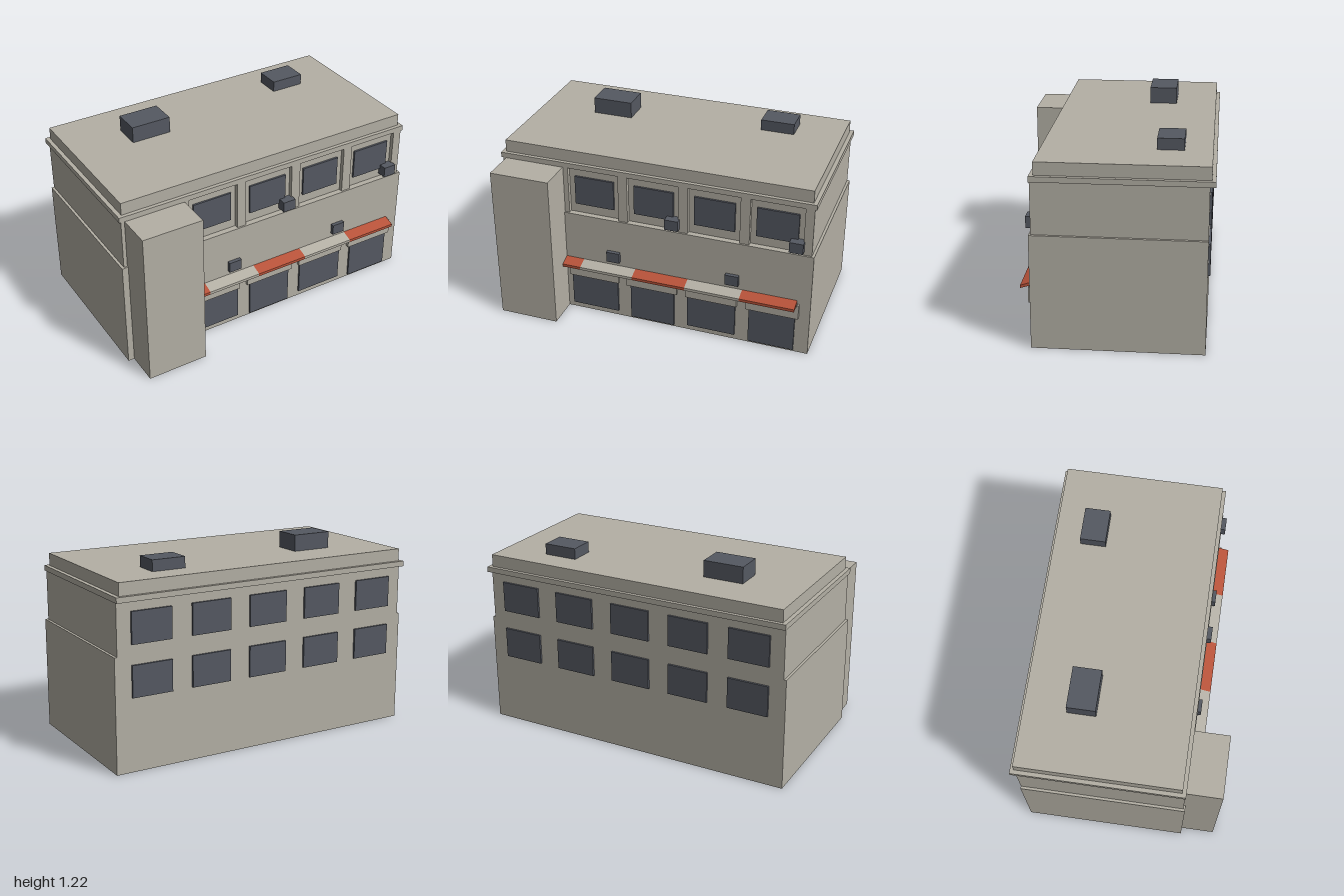
import * as THREE from 'three';

export function createModel() {
  const root = new THREE.Group();
  const mat = (name, color) => {
    const m = new THREE.MeshStandardMaterial({ color });
    m.name = name;
    return m;
  };
  const stone = mat('warm grey render', 0xb4b0a5);
  const slate = mat('dark slate', 0x555962);
  const red = mat('awning red', 0xb8533a);

  // Box given by its limits along each axis
  const box = (name, m, x0, x1, y0, y1, z0, z1) => {
    const mesh = new THREE.Mesh(new THREE.BoxGeometry(x1 - x0, y1 - y0, z1 - z0), m);
    mesh.position.set((x0 + x1) / 2, (y0 + y1) / 2, (z0 + z1) / 2);
    mesh.name = name;
    root.add(mesh);
    return mesh;
  };

  // Main volumes
  box('groundFloor', stone, -1, 1, 0, 0.692, -0.588, 0.413);
  box('upperFloor', stone, -0.984, 0.984, 0.692, 1.003, -0.588, 0.376);
  box('cornice', stone, -0.995, 0.995, 1.003, 1.036, -0.62, 0.406);
  box('parapet', stone, -0.97, 0.97, 1.036, 1.113, -0.598, 0.383);
  box('stairTower', stone, -0.962, -0.582, 0, 1.003, 0.376, 0.62);

  // Pilasters framing the upper bays
  const pilasters = [[-0.984, -0.551], [-0.225, -0.166], [0.16, 0.22], [0.545, 0.605], [0.93, 0.984]];
  for (const [a, b] of pilasters) box('pilaster', stone, a, b, 0.692, 1.003, 0.37, 0.402);

  // Upper front windows
  for (let i = 0; i < 4; i++) {
    const x = -0.387 + i * 0.385;
    box('upperWindow', slate, x - 0.127, x + 0.127, 0.754, 0.944, 0.37, 0.388);
  }

  // Shop windows and doors, each with a shallow hood and side cheeks
  const shops = [[-0.543, -0.233, 0.037], [-0.146, 0.141, 0.015], [0.228, 0.537, 0.037], [0.624, 0.911, 0.015]];
  shops.forEach(([a, b, y], i) => {
    box(y < 0.03 ? 'shopDoor' : 'shopWindow', slate, a, b, y, 0.295, 0.405, 0.425);
    const x = -0.39 + i * 0.386;
    box('shopHood', stone, x - 0.155, x + 0.155, 0.253, 0.34, 0.425, 0.434);
    for (const s of [-1, 1]) {
      const c = x + s * 0.159;
      box('hoodCheek', stone, c - 0.006, c + 0.006, 0.253, 0.35, 0.41, 0.434);
    }
  });

  // Rear windows, two rows of five
  for (const y of [0.445, 0.754]) {
    for (let i = -2; i <= 2; i++) {
      box('rearWindow', slate, i * 0.385 - 0.127, i * 0.385 + 0.127, y, y + 0.19, -0.601, -0.58);
    }
  }

  // Sloping striped awning: side profile extruded along x
  const profile = new THREE.Shape([[0.405, 0.358], [0.482, 0.334], [0.482, 0.352], [0.405, 0.377]]
    .map(([z, y]) => new THREE.Vector2(-z, y)));
  const stripes = [-0.582, -0.463, -0.116, 0.227, 0.575, 0.917];
  for (let i = 0; i < 5; i++) {
    const geo = new THREE.ExtrudeGeometry(profile, { depth: stripes[i + 1] - stripes[i], bevelEnabled: false });
    geo.rotateY(Math.PI / 2);
    const mesh = new THREE.Mesh(geo, i % 2 ? stone : red);
    mesh.position.x = stripes[i];
    mesh.name = 'awningStripe';
    root.add(mesh);
  }

  // Wall-mounted cooling units
  for (const [x, y] of [[-0.258, 0.405], [0.512, 0.405], [0.127, 0.713], [0.895, 0.713]]) {
    box('wallUnit', slate, x - 0.042, x + 0.042, y, y + 0.068, 0.376, 0.437);
  }

  // Rooftop plant
  box('roofUnitLarge', slate, -0.61, -0.358, 1.11, 1.215, -0.342, -0.17);
  box('roofUnitSmall', slate, 0.468, 0.68, 1.11, 1.181, -0.436, -0.28);

  return root;
}
